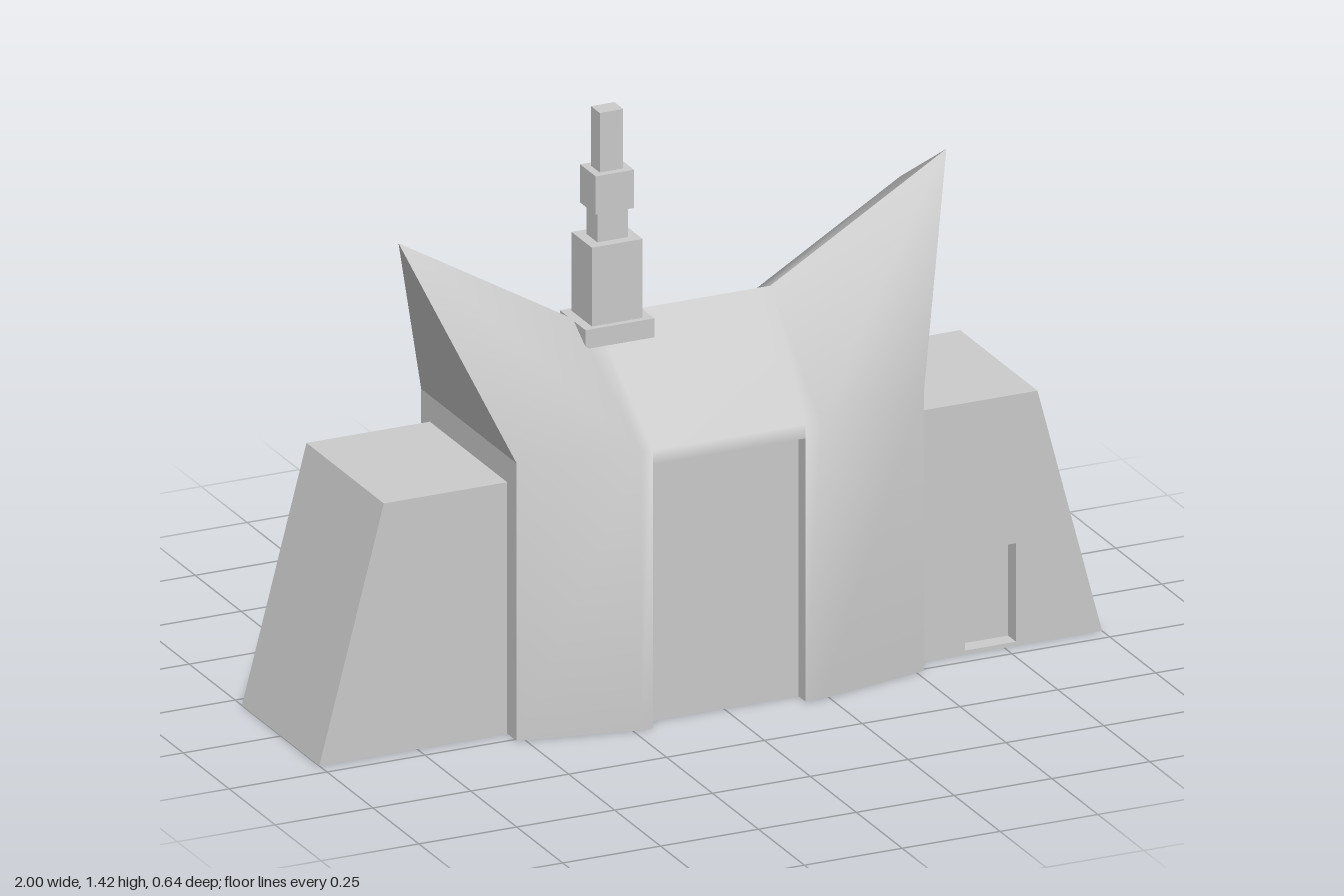
import * as THREE from 'three';

const material = new THREE.MeshStandardMaterial({ color: 0xcccccc });

const EAVE = 0.69, RIDGE = 0.91;
const DOOR = { x0: -0.2, x1: 0.19, top: 0.655, depth: 0.04 };

// Mesh from corner points and polygon faces (counter-clockwise, fan-triangulated)
function polyMesh(name, points, faces, smooth) {
  let g = new THREE.BufferGeometry();
  g.setAttribute('position', new THREE.Float32BufferAttribute(points.flat(), 3));
  g.setIndex(faces.flatMap(f => f.slice(2).flatMap((c, i) => [f[0], f[i + 1], c])));
  if (!smooth) g = g.toNonIndexed();
  g.computeVertexNormals();
  return named(name, g);
}

function named(name, geometry) {
  const m = new THREE.Mesh(geometry, material);
  m.name = name;
  return m;
}

// One long side of the hall: bowed wall flowing into the horned roof
function hallSide(name, hasDoor) {
  const xs = [-0.52, -0.23, DOOR.x0, DOOR.x1, 0.23, 0.52];
  const pts = [], faces = [];
  const add = (x, y, z) => pts.push([x, y, z]) - 1;
  const zOf = i => (i === 0 || i === 5 ? 0.26 : 0.32);
  const low = xs.map((x, i) => add(x, 0, zOf(i)));
  const eave = xs.map((x, i) => add(x, EAVE, zOf(i)));
  const ridge = [-0.25, DOOR.x0, DOOR.x1, 0.25].map(x => add(x, RIDGE, 0));
  for (let i = 0; i < 5; i++) {
    if (i === 2 && hasDoor) {
      const a = add(DOOR.x0, DOOR.top, 0.32), b = add(DOOR.x1, DOOR.top, 0.32);
      faces.push([a, b, eave[3], eave[2]]);
    } else {
      faces.push([low[i], low[i + 1], eave[i + 1], eave[i]]);
    }
  }
  for (let i = 0; i < 3; i++) {
    faces.push([eave[i + 1], eave[i + 2], ridge[i + 1], ridge[i]]);
  }
  // Horns at both ends of the ridge
  for (const s of [1, -1]) {
    const a = eave[s > 0 ? 5 : 0], b = eave[s > 0 ? 4 : 1], r = ridge[s > 0 ? 3 : 0];
    const tip = add(s * 0.7, 1.175, 0), knee = add(s * 0.61, 1.1, 0.06);
    for (const f of [[a, tip, knee], [a, knee, b], [b, knee, r], [knee, tip, r]]) {
      faces.push(s > 0 ? f : f.reverse());
    }
  }
  return polyMesh(name, pts, faces, true);
}

// End wall with the leaning triangle under the horn
function gable(name) {
  return polyMesh(name, [
    [0.52, 0, 0.26], [0.52, 0, -0.26], [0.52, EAVE, -0.26], [0.52, EAVE, 0.26], [0.7, 1.175, 0],
  ], [[0, 1, 2, 3], [3, 2, 4]], false);
}

// Door leaf, jambs and lintel, set back into the wall
function doorway() {
  const { x0, x1, top, depth } = DOOR, f = 0.32, b = f - depth;
  return polyMesh('doorway', [
    [x0, 0, f], [x1, 0, f], [x1, top, f], [x0, top, f],
    [x0, 0, b], [x1, 0, b], [x1, top, b], [x0, top, b],
  ], [[4, 5, 6, 7], [0, 4, 7, 3], [5, 1, 2, 6], [7, 6, 2, 3]], false);
}

// Underside, notched at the door
function floor() {
  const { x0, x1, depth } = DOOR;
  const outline = [
    [-0.52, -0.26], [-0.23, -0.32], [0.23, -0.32], [0.52, -0.26], [0.52, 0.26], [0.23, 0.32],
    [x1, 0.32], [x1, 0.32 - depth], [x0, 0.32 - depth], [x0, 0.32], [-0.23, 0.32], [-0.52, 0.26],
  ].map(p => new THREE.Vector2(...p));
  return named('floor', new THREE.ShapeGeometry(new THREE.Shape(outline)).rotateX(Math.PI / 2));
}

// Side wing with a sloping outer wall; optionally a small recess in the front
function wing(name, side, hasNiche) {
  const group = new THREE.Group();
  group.name = name;
  const slab = (part, z0, z1, niche) => {
    const shape = new THREE.Shape(
      [[0.5, 0], [1, 0], [0.835, 0.625], [0.5, 0.625]].map(([x, y]) => new THREE.Vector2(side * x, y)));
    if (niche) {
      shape.holes.push(new THREE.Path(
        [[0.65, 0.01], [0.65, 0.255], [0.78, 0.255], [0.78, 0.01]].map(p => new THREE.Vector2(...p))));
    }
    const g = new THREE.ExtrudeGeometry(shape, { depth: z1 - z0, bevelEnabled: false });
    group.add(named(part, g.translate(0, 0, z0)));
  };
  slab('wingBody', -0.213, hasNiche ? 0.165 : 0.208, false);
  if (hasNiche) slab('wingFrontWall', 0.165, 0.208, true);
  return group;
}

// Stepped spire: half width, half depth, bottom, top of each block
function spire() {
  const group = new THREE.Group();
  group.name = 'spire';
  const blocks = [
    ['spireFooting', 0.088, 0.07, 0.84, 0.909],
    ['spireBase', 0.065, 0.055, 0.88, 1.105],
    ['spireNeck', 0.039, 0.03, 1.105, 1.18],
    ['spireBlock', 0.049, 0.042, 1.18, 1.275],
    ['spireTop', 0.03, 0.024, 1.275, 1.423],
  ];
  for (const [name, hx, hz, y0, y1] of blocks) {
    const m = named(name, new THREE.BoxGeometry(2 * hx, y1 - y0, 2 * hz));
    m.position.y = (y0 + y1) / 2;
    group.add(m);
  }
  group.position.x = -0.167;
  return group;
}

export function createModel() {
  const model = new THREE.Group();
  model.name = 'hornedHall';
  const back = hallSide('backWallAndRoof', false);
  const rightGable = gable('rightGable');
  back.rotation.y = rightGable.rotation.y = Math.PI;
  model.add(
    hallSide('frontWallAndRoof', true), back,
    gable('leftGable'), rightGable,
    doorway(), floor(),
    wing('leftWing', 1, true), wing('rightWing', -1, false),
    spire(),
  );
  return model;
}
